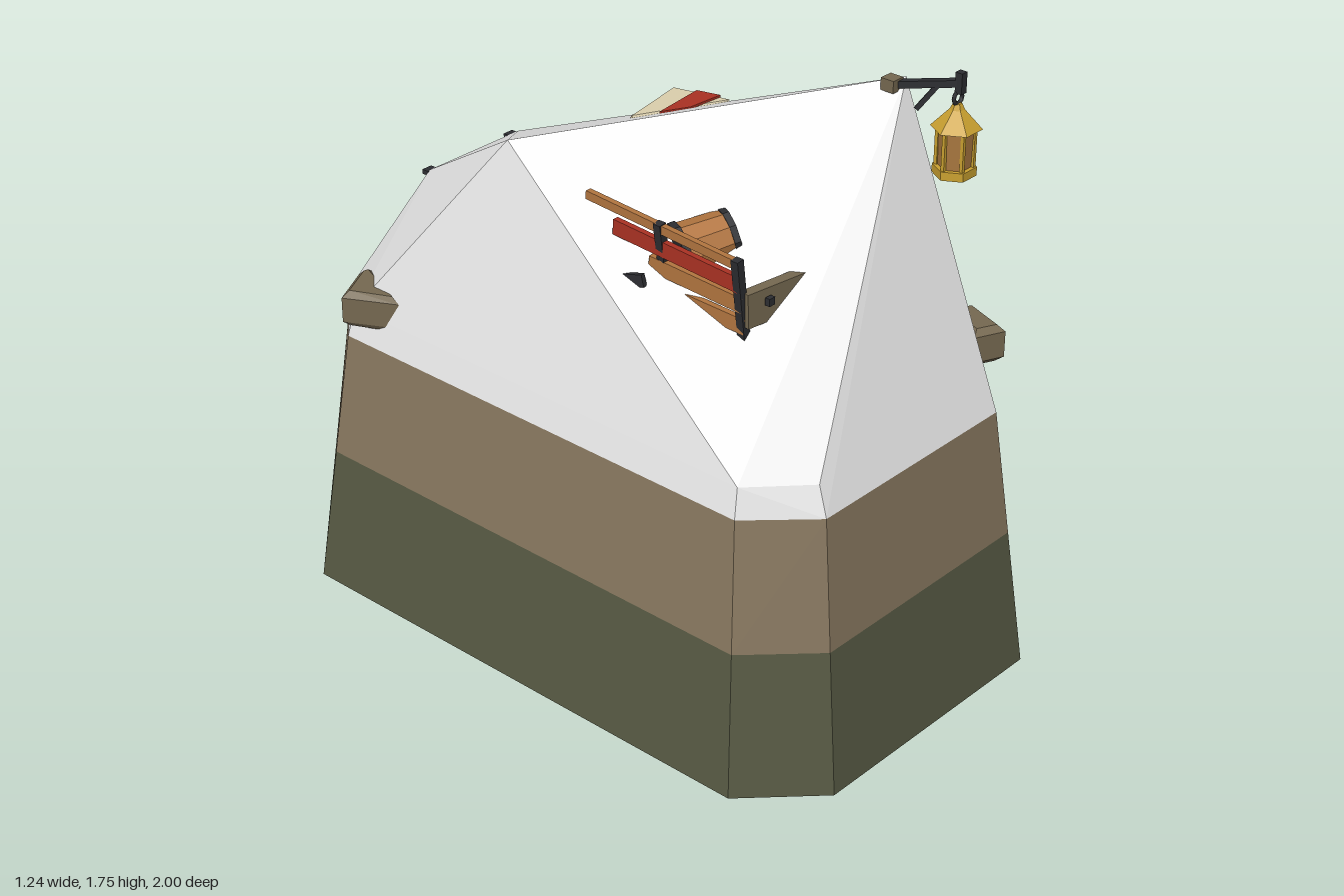
import * as THREE from 'three';
import { ConvexGeometry } from 'three/addons/geometries/ConvexGeometry.js';

const mat = (name, color) => Object.assign(new THREE.MeshStandardMaterial({ color }), { name });
const V = (x, y, z) => new THREE.Vector3(x, y, z);

export function createModel() {
  const model = new THREE.Group();
  model.name = 'snowyMound';
  const snow = mat('snow', 0xe9e9e9), earth = mat('earth', 0x87775f), moss = mat('moss', 0x565943);
  const stone = mat('stone', 0x756850), wood = mat('wood', 0xb0743f), iron = mat('iron', 0x2d2e32);
  const gold = mat('brass', 0xc9a030), amber = mat('amberGlass', 0xa8773f);
  const red = mat('redPaint', 0xa93123), cream = mat('canvas', 0xd9cdab);

  const add = (name, geometry, material, x = 0, y = 0, z = 0, parent = model) => {
    const m = new THREE.Mesh(geometry, material);
    m.name = name;
    m.position.set(x, y, z);
    parent.add(m);
    return m;
  };
  const hull = (name, points, material) => add(name, new ConvexGeometry(points), material);
  const box = (name, w, h, d, material, x, y, z, parent) =>
    add(name, new THREE.BoxGeometry(w, h, d), material, x, y, z, parent);
  // Square or flat bar from one point to another
  const bar = (name, a, b, w, h, material) => {
    const m = box(name, w, h, a.distanceTo(b), material, 0, 0, 0);
    m.position.copy(a).add(b).multiplyScalar(0.5);
    m.lookAt(b);
    return m;
  };
  // Chamfered rectangle; t runs from the ground (0) to the snow line (1)
  const ring = (t) => {
    const x = 0.62 - 0.092 * t, z = 1 - 0.1 * t, cx = 0.2 - 0.037 * t, cz = 0.2 - 0.03 * t;
    return [-1, 1].flatMap(i => [-1, 1].flatMap(j =>
      [V(i * (x - cx), 0.8 * t, j * z), V(i * x, 0.8 * t, j * (z - cz))]));
  };

  // Mound: two earth bands and the faceted snow cap
  hull('mossBand', [...ring(0), ...ring(0.525)], moss);
  hull('earthBand', [...ring(0.525), ...ring(1)], earth);
  const shoulder = [-1, 1].flatMap(i => [-1, 1].flatMap(j =>
    [V(i * 0.355, 0.885, j * 0.866), V(i * 0.507, 0.885, j * 0.72)]));
  hull('snowCap', [...ring(1), ...shoulder, V(0.33, 1.71, 0.57), V(-0.34, 1.5, -0.25),
    V(-0.18, 1.2, -0.735), V(0.18, 1.2, -0.735)], snow);

  // Boulders sticking out of the snow line
  const boulder = (name, outline, y, height) => {
    const b = 0.018;
    const shape = new THREE.Shape(outline.map(([x, z]) => new THREE.Vector2(x, -z)));
    const g = new THREE.ExtrudeGeometry(shape, { depth: height - 2 * b, bevelEnabled: true,
      bevelThickness: b, bevelSize: b, bevelOffset: -b, bevelSegments: 1 });
    g.rotateX(-Math.PI / 2);
    add(name, g, stone, 0, y + b, 0);
  };
  boulder('frontBoulder', [[0.44, 0.76], [0.53, 0.8], [0.585, 0.65], [0.5, 0.605]], 0.85, 0.115);
  boulder('backBoulder', [[-0.57, -0.7], [-0.49, -0.55], [-0.4, -0.76], [-0.44, -0.77]], 0.855, 0.112);

  // Wagon side: slats and posts, sloping gently to the front
  const slats = [['topRail', 1.385, 0.03, wood, 0.025, -0.008], ['redSlat', 1.325, 0.12, red, 0.045, 0],
    ['middleSlat', 1.265, 0.24, wood, 0.045, 0.008], ['lowerSlat', 1.2, 0.36, wood, 0.045, 0.016]];
  for (const [name, y, z, m, h, dx] of slats) {
    bar(name, V(-0.315 + dx, y + 0.08 * (0.54 - z), z), V(-0.3 + dx, y, 0.55), 0.018, h, m);
  }
  bar('frontPost', V(-0.31, 1.4, 0.54), V(-0.278, 1.16, 0.54), 0.024, 0.024, iron);
  bar('middlePost', V(-0.318, 1.42, 0.28), V(-0.292, 1.24, 0.28), 0.024, 0.024, iron);
  bar('sideHook', V(-0.362, 1.24, 0.18), V(-0.355, 1.26, 0.26), 0.014, 0.035, iron);

  // Tailboard running into the snow
  bar('tailboard', V(-0.29, 1.25, 0.55), V(-0.09, 1.255, 0.585), 0.032, 0.1, stone);
  box('tailboardClasp', 0.022, 0.022, 0.015, iron, -0.235, 1.27, 0.59);

  // Half-buried keg with iron hoops
  const keg = new THREE.Group();
  keg.name = 'keg';
  keg.position.set(-0.19, 1.33, 0.325);
  keg.quaternion.setFromUnitVectors(V(0, 1, 0), V(0.85, 0.2, 0.45).normalize());
  model.add(keg);
  add('kegBody', new THREE.CylinderGeometry(0.07, 0.078, 0.15, 10), wood, 0, 0, 0, keg);
  for (const y of [-0.068, 0.07]) {
    add('kegHoop', new THREE.CylinderGeometry(0.082, 0.082, 0.02, 10), iron, 0, y, 0, keg)
      .scale.setScalar(y > 0 ? 0.9 : 1);
  }
  for (const c of keg.children) {
    c.geometry = c.geometry.toNonIndexed();
    c.geometry.computeVertexNormals();
  }

  // Canvas cover with a red stripe
  hull('canvasCover', [V(0, 1.5, -0.11), V(0, 1.47, -0.09), V(0.205, 1.508, -0.14), V(0.24, 1.512, 0.035),
    V(0.215, 1.445, -0.18), V(0.01, 1.48, -0.13), V(0.24, 1.43, -0.05), V(0.23, 1.46, 0.03)], cream);
  hull('canvasStripe', [0, 0.007].flatMap(d => [V(0.055, 1.502 + d, -0.058), V(0.222, 1.508 + d, -0.07),
    V(0.236, 1.511 + d, 0.005), V(0.13, 1.506 + d, -0.01)]), red);

  // Broken frame corner beside the canvas
  bar('frameCrossbar', V(0.22, 1.37, -0.228), V(0.31, 1.37, -0.228), 0.02, 0.045, wood);
  bar('frameSidebar', V(0.302, 1.36, -0.23), V(0.306, 1.365, -0.12), 0.02, 0.03, wood);
  box('frameBracket', 0.034, 0.06, 0.03, iron, 0.3, 1.36, -0.227);
  box('frameClasp', 0.024, 0.03, 0.04, iron, 0.272, 1.405, -0.135);

  // Iron pegs at the back ridge
  for (const x of [-0.17, 0.16]) {
    box('backPeg', 0.035, 0.014, 0.025, iron, x, 1.19, -0.745);
    box('backPegTip', 0.012, 0.035, 0.012, iron, x + 0.008, 1.165, -0.752);
  }

  // Bracket that carries the lantern
  box('bracketPost', 0.042, 0.035, 0.042, stone, 0.295, 1.695, 0.55);
  bar('bracketArm', V(0.3, 1.695, 0.56), V(0.375, 1.718, 0.71), 0.02, 0.02, iron);
  bar('bracketBrace', V(0.328, 1.63, 0.61), V(0.35, 1.705, 0.66), 0.014, 0.014, iron);
  box('bracketFinial', 0.022, 0.06, 0.022, iron, 0.375, 1.72, 0.715);

  // Hexagonal lantern
  const lantern = new THREE.Group();
  lantern.name = 'lantern';
  lantern.position.set(0.375, 0, 0.708);
  model.add(lantern);
  const hex = (name, top, bottom, y0, y1, m) => {
    const g = new THREE.CylinderGeometry(top, bottom, y1 - y0, 6).toNonIndexed();
    g.computeVertexNormals();
    g.rotateY(Math.PI / 6);
    return add(name, g, m, 0, (y0 + y1) / 2, 0, lantern);
  };
  hex('lanternBase', 0.06, 0.06, 1.455, 1.48, gold);
  hex('lanternGlass', 0.05, 0.046, 1.48, 1.592, amber);
  hex('lanternRoof', 0.02, 0.07, 1.59, 1.643, gold);
  hex('lanternCap', 0.012, 0.02, 1.643, 1.66, gold);
  for (let i = 0; i < 6; i++) {
    const a = i * Math.PI / 3 + Math.PI / 6;
    box('lanternRib', 0.01, 0.112, 0.01, gold, 0.049 * Math.sin(a), 1.536, 0.049 * Math.cos(a), lantern);
  }
  add('lanternRing', new THREE.TorusGeometry(0.018, 0.006, 5, 10), iron, 0, 1.675, 0, lantern);
  return model;
}
